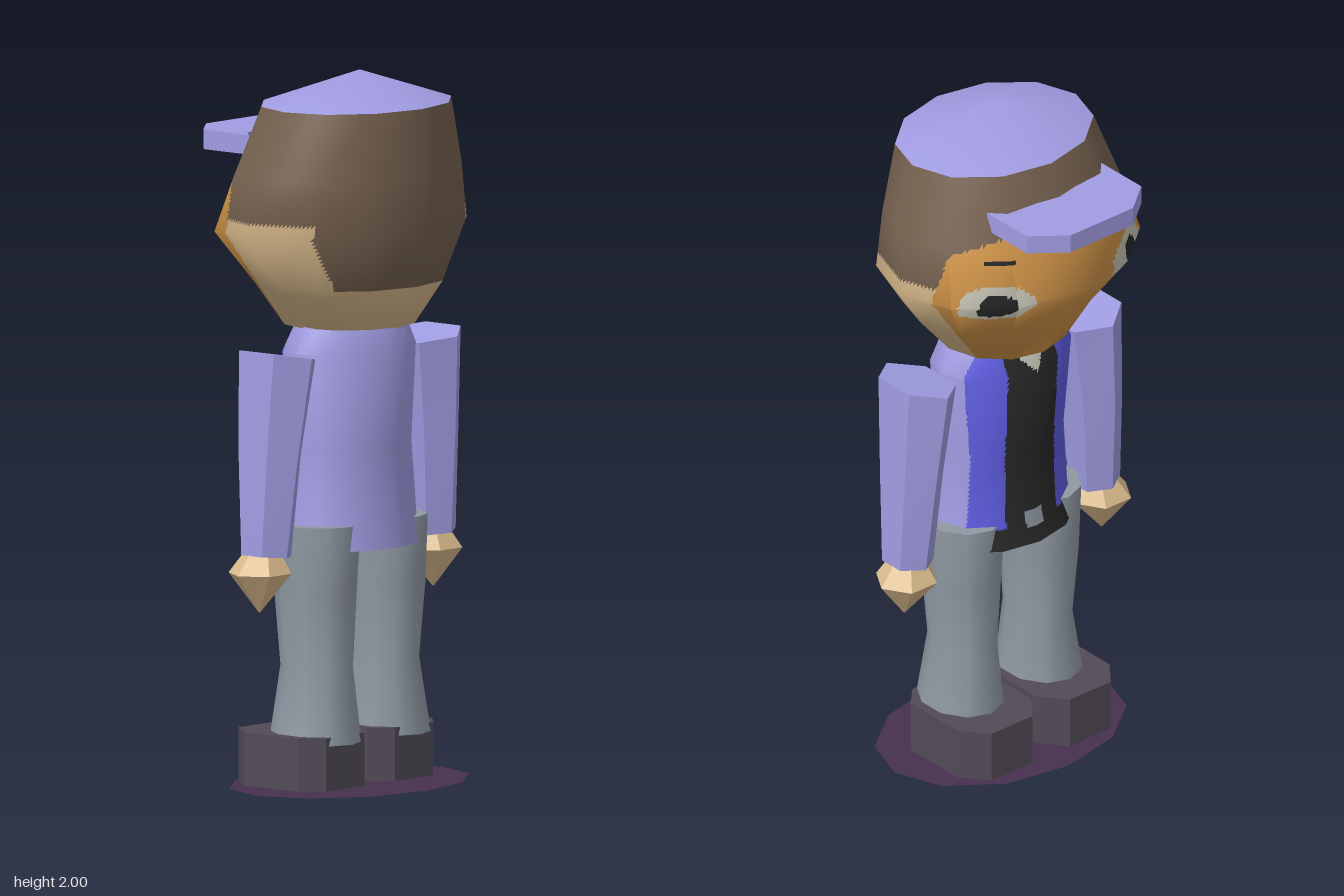
import * as THREE from 'three';
import { toCreasedNormals } from 'three/addons/utils/BufferGeometryUtils.js';

const mat = (name, color) => {
  const m = new THREE.MeshStandardMaterial({ color });
  m.name = name;
  return m;
};
const lilac = mat('lilac cloth', 0xa09ce2);
const blue = mat('blue jacket front', 0x5e5cde);
const brown = mat('brown hair', 0x75614f);
const tan = mat('tan skin', 0xdcbd8e);
const orange = mat('orange face', 0xd09448);
const grey = mat('grey trousers', 0x8f99a3);
const black = mat('black', 0x282828);
const shoeMat = mat('dark shoe', 0x524b57);
const white = mat('eye white', 0xc9c7b8);
const plum = mat('plum base', 0x46304f);

// Closed skin through elliptical rings [y, rx, rz, cz, cx, tilt], listed from bottom to top
function loft(rings, sides, offset = 0, crease = 0.8) {
  const pos = [], idx = [];
  for (const [y, rx, rz, cz = 0, cx = 0, tilt = 0] of rings) {
    for (let i = 0; i < sides; i++) {
      const a = offset + (i / sides) * Math.PI * 2;
      const dx = rx * Math.sin(a);
      pos.push(cx + dx, y + tilt * dx, cz + rz * Math.cos(a));
    }
  }
  const top = (rings.length - 1) * sides, c = rings.length * sides;
  for (const [y, , , cz = 0, cx = 0] of [rings[0], rings[rings.length - 1]]) pos.push(cx, y, cz);
  for (let i = 0; i < sides; i++) {
    const j = (i + 1) % sides;
    for (let r = 0; r < top; r += sides) {
      idx.push(r + i, r + j, r + sides + j, r + i, r + sides + j, r + sides + i);
    }
    idx.push(c, j, i, c + 1, top + i, top + j);
  }
  const g = new THREE.BufferGeometry();
  g.setAttribute('position', new THREE.Float32BufferAttribute(pos, 3));
  g.setIndex(idx);
  return toCreasedNormals(g, crease);
}

// Flat outline of [x, z] points raised from y0 by height
function slab(points, y0, height) {
  const shape = new THREE.Shape(points.map(([x, z]) => new THREE.Vector2(x, -z)));
  const g = new THREE.ExtrudeGeometry(shape, { depth: height, bevelEnabled: false });
  return g.rotateX(-Math.PI / 2).translate(0, y0, 0);
}

function part(name, geometry, material) {
  const m = new THREE.Mesh(geometry, material);
  m.name = name;
  return m;
}

// Splits every triangle into n * n and sorts the pieces by colour with rule(x, y, z)
function painted(name, geometry, n, rule) {
  const P = geometry.attributes.position, N = geometry.attributes.normal;
  const buckets = new Map();
  const mix = (attr, t, u, v) => {
    const w = [1 - u - v, u, v];
    return [0, 1, 2].map((k) => w[0] * attr.getComponent(t, k)
      + w[1] * attr.getComponent(t + 1, k) + w[2] * attr.getComponent(t + 2, k));
  };
  const add = (t, corners) => {
    const ps = corners.map(([u, v]) => mix(P, t, u / n, v / n));
    const mid = [0, 1, 2].map((k) => (ps[0][k] + ps[1][k] + ps[2][k]) / 3);
    const m = rule(...mid);
    if (!buckets.has(m)) buckets.set(m, { p: [], n: [] });
    const b = buckets.get(m);
    ps.forEach((p) => b.p.push(...p));
    corners.forEach(([u, v]) => b.n.push(...mix(N, t, u / n, v / n)));
  };
  for (let t = 0; t < P.count; t += 3) {
    for (let i = 0; i < n; i++) {
      for (let j = 0; i + j < n; j++) {
        add(t, [[i, j], [i + 1, j], [i, j + 1]]);
        if (i + j < n - 1) add(t, [[i + 1, j], [i + 1, j + 1], [i, j + 1]]);
      }
    }
  }
  const group = new THREE.Group();
  group.name = name;
  for (const [m, b] of buckets) {
    const g = new THREE.BufferGeometry();
    g.setAttribute('position', new THREE.Float32BufferAttribute(b.p, 3));
    g.setAttribute('normal', new THREE.Float32BufferAttribute(b.n, 3));
    group.add(part(`${name} ${m.name}`, g, m));
  }
  return group;
}

// Face, eyes, brows, hair and neck colours
function headColour(x, y, z) {
  const d = Math.abs(x);
  const isFace = z < -0.02 - (y - 1.29) * 0.146 && y < 1.7 + (-0.08 - z) * 0.54;
  if (isFace) {
    const inside = (cx, cy, rx, ry) => ((d - cx) / rx) ** 2 + ((y - cy) / ry) ** 2 < 1;
    if (inside(0.24, 1.555, 0.045, 0.042)) return black;
    if (inside(0.235, 1.56, 0.095, 0.058)) return white;
    if (Math.abs(y - 1.68) < 0.006 && d > 0.17 && d < 0.25) return black;
    return orange;
  }
  if (y < 1.41 || (y < 1.6 && z < 0.22)) return tan;
  return brown;
}

// Open jacket over a dark shirt, with collar and buckle
function torsoColour(x, y, z) {
  const d = Math.abs(x);
  if (z > 0.0 || y < 0.671) return lilac;
  if (d < (y - 1.21) * 0.9) return white;
  if (d < 0.03 && y > 0.715 && y < 0.76) return grey;
  if (d < 0.09 || (y < 0.73 && z < -0.03)) return black;
  return blue;
}

export function createModel() {
  const model = new THREE.Group();
  model.name = 'figure';

  // Head and cap
  model.add(painted('head', loft([
    [1.29, 0.19, 0.185, 0.069],
    [1.41, 0.29, 0.25, 0.073],
    [1.56, 0.4, 0.32, 0.038],
    [1.72, 0.365, 0.282, 0.066],
    [1.91, 0.3, 0.243, 0.097],
  ], 12, 0, 1.1), 14, headColour));
  model.add(part('cap crown', loft([
    [1.91, 0.3, 0.243, 0.097],
    [2, 0.002, 0.002, 0.11],
  ], 12), lilac));
  model.add(part('cap peak', slab([
    [-0.21, -0.115], [-0.17, -0.157], [0, -0.172], [0.17, -0.157], [0.21, -0.115],
    [0.21, -0.285], [0.115, -0.36], [-0.115, -0.36], [-0.21, -0.285],
  ], 1.762, 0.055), lilac));

  // Jacket
  model.add(painted('torso', loft([
    [0.67, 0.23, 0.17, 0.072],
    [0.75, 0.215, 0.152, 0.078],
    [0.95, 0.2, 0.145, 0.075],
    [1.22, 0.222, 0.155, 0.07],
    [1.3, 0.19, 0.115, 0.075],
  ], 12), 14, torsoColour));

  // Mirrored limbs
  for (const s of [1, -1]) {
    const side = s > 0 ? 'left' : 'right';
    model.add(part(`${side} arm`, loft([
      [0.668, 0.07, 0.077, 0.068, s * 0.343, s * 0.08],
      [0.95, 0.082, 0.105, 0.068, s * 0.328],
      [1.228, 0.1, 0.13, 0.073, s * 0.303, s * 0.18],
    ], 6), lilac));
    model.add(part(`${side} hand`, loft([
      [0.51, 0.002, 0.002, 0.06, s * 0.362],
      [0.62, 0.092, 0.088, 0.057, s * 0.356],
      [0.68, 0.05, 0.05, 0.06, s * 0.35],
    ], 6, Math.PI / 6, 0.3), tan));
    model.add(part(`${side} leg`, loft([
      [0.13, 0.115, 0.137, 0.074, s * 0.145],
      [0.34, 0.088, 0.11, 0.073, s * 0.138],
      [0.55, 0.105, 0.122, 0.073, s * 0.143],
      [0.74, 0.115, 0.13, 0.073, s * 0.14],
    ], 10), grey));

    // Shoe with cut corners
    const x = (v) => s * 0.144 + v;
    model.add(part(`${side} shoe`, slab([
      [x(-0.135), 0.13], [x(-0.08), 0.185], [x(0.08), 0.185], [x(0.135), 0.13],
      [x(0.135), -0.07], [x(0.075), -0.145], [x(-0.075), -0.145], [x(-0.135), -0.07],
    ], 0.004, 0.15), shoeMat));
  }

  // Flat base disc
  const disc = new THREE.CircleGeometry(1, 12).rotateX(-Math.PI / 2).scale(0.39, 1, 0.288);
  plum.side = THREE.DoubleSide;
  const base = part('base disc', disc, plum);
  base.position.set(0, 0, 0.07);
  model.add(base);

  return model;
}
